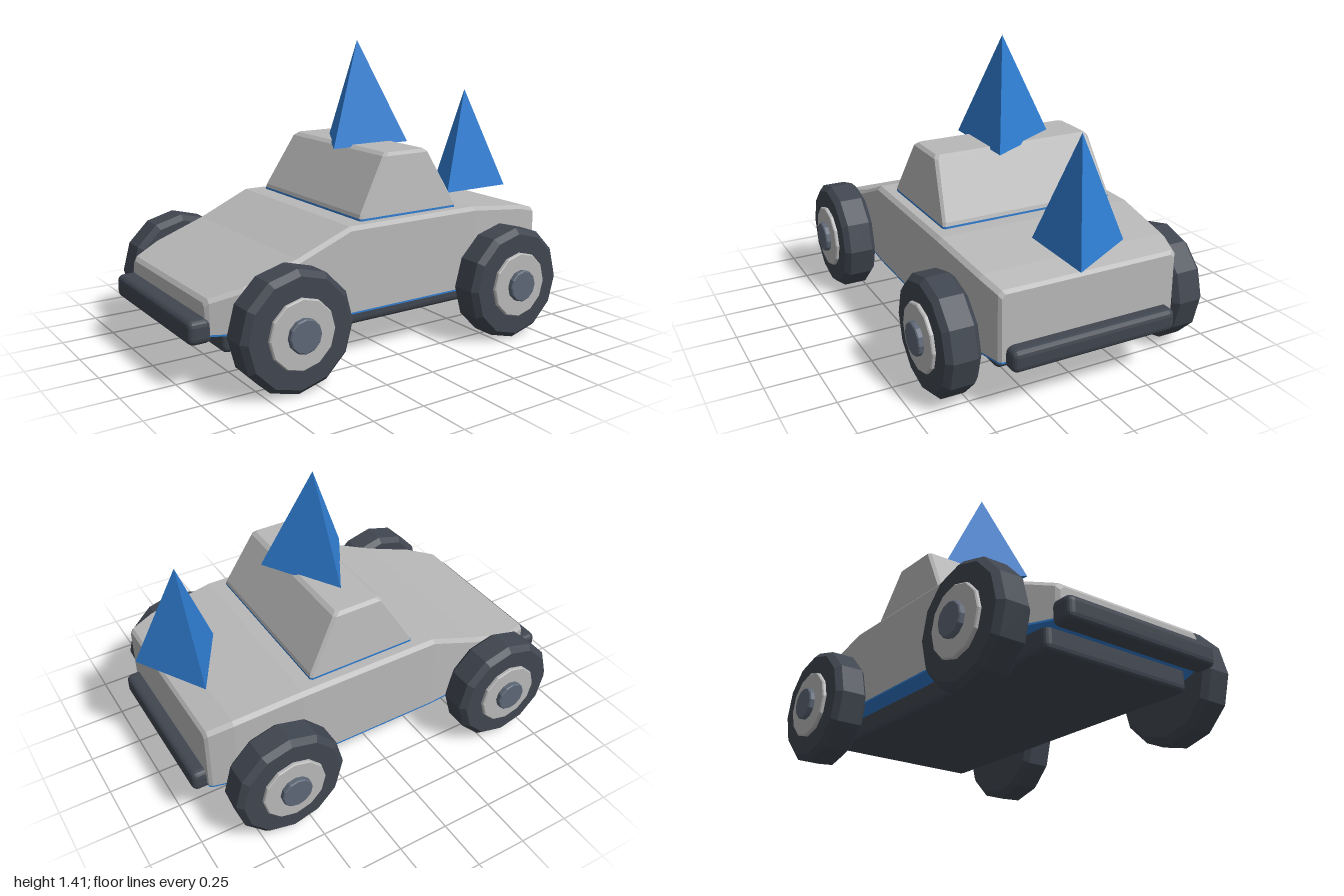
import * as THREE from 'three';
import { RoundedBoxGeometry } from 'three/addons/geometries/RoundedBoxGeometry.js';

const mat = (name, color) => {
  const m = new THREE.MeshStandardMaterial({ color, flatShading: true });
  m.name = name;
  return m;
};

// Skin a list of equal-length rings of [x, y, z] points and cap both ends
function loft(rings) {
  const n = rings[0].length;
  const pos = rings.flat(2);
  const index = [];
  for (let i = 0; i < rings.length - 1; i++) {
    for (let j = 0; j < n; j++) {
      const a = i * n + j, b = i * n + (j + 1) % n;
      index.push(a, b, a + n, b, b + n, a + n);
    }
  }
  const last = (rings.length - 1) * n;
  for (let j = 1; j < n - 1; j++) {
    index.push(0, j + 1, j);
    index.push(last, last + j, last + j + 1);
  }
  const g = new THREE.BufferGeometry();
  g.setAttribute('position', new THREE.Float32BufferAttribute(pos, 3));
  g.setIndex(index);
  const flat = g.toNonIndexed();
  flat.computeVertexNormals();
  return flat;
}

export function createModel() {
  const car = new THREE.Group();
  car.name = 'toyCar';
  const grey = mat('bodyGrey', 0xb8b8b8);
  const blue = mat('blue', 0x2f7dd1);
  const dark = mat('darkRubber', 0x404650);
  const slate = mat('slateCap', 0x5d6776);

  const add = (parent, name, geometry, material, x = 0, y = 0, z = 0) => {
    const m = new THREE.Mesh(geometry, material);
    m.name = name;
    m.position.set(x, y, z);
    parent.add(m);
    return m;
  };

  // Body: stations of [x, top height, half width]
  const stations = [
    [-0.92, 0.39, 0.385], [-0.905, 0.408, 0.4], [-0.77, 0.45, 0.465],
    [-0.52, 0.535, 0.48], [-0.26, 0.645, 0.496], [0.45, 0.645, 0.496],
    [0.78, 0.605, 0.465], [0.893, 0.575, 0.437], [0.907, 0.56, 0.425],
  ];
  const c = 0.018;
  add(car, 'body', loft(stations.map(([x, t, w]) => [
    [x, 0.255, -w], [x, t - c, -w], [x, t, -w + c],
    [x, t, w - c], [x, t - c, w], [x, 0.255, w],
  ])), grey);

  // Blue floor plate under the body
  add(car, 'floorPlate', loft(stations.map(([x, , w]) => [
    [x, 0.247, -w], [x, 0.255, -w], [x, 0.255, w], [x, 0.247, w],
  ])), blue);

  // Cabin: tapered block with chamfered corners, over a blue seam
  const cabinRing = (y, x0, x1, w, k) => [
    [x0 + k, y, w], [x1 - k, y, w], [x1, y, w - k], [x1, y, -w + k],
    [x1 - k, y, -w], [x0 + k, y, -w], [x0, y, -w + k], [x0, y, w - k],
  ];
  add(car, 'cabin', loft([
    cabinRing(0.655, -0.17, 0.38, 0.435, 0.01),
    cabinRing(0.672, -0.165, 0.375, 0.433, 0.012),
    cabinRing(0.92, -0.02, 0.238, 0.403, 0.014),
    cabinRing(0.935, 0, 0.218, 0.388, 0.014),
  ]), grey);
  add(car, 'cabinSeam', loft([
    cabinRing(0.645, -0.17, 0.38, 0.435, 0.01),
    cabinRing(0.655, -0.17, 0.38, 0.435, 0.01),
  ]), blue);

  // Chassis and bumpers
  add(car, 'chassis', new RoundedBoxGeometry(1.64, 0.14, 0.79, 2, 0.03), dark, -0.02, 0.22, 0);
  add(car, 'frontBumper', new RoundedBoxGeometry(0.11, 0.11, 0.82, 2, 0.03), dark, -0.945, 0.273, -0.005);
  add(car, 'rearBumper', new RoundedBoxGeometry(0.11, 0.105, 0.81, 2, 0.03), dark, 0.918, 0.273, 0);

  // Wheels: bevelled twelve-sided discs
  const disc = (radius, depth, bevel) => {
    const h = depth / 2;
    const profile = [
      [0, -h], [radius - bevel, -h], [radius, -h + bevel],
      [radius, h - bevel], [radius - bevel, h], [0, h],
    ].map(([r, y]) => new THREE.Vector2(r, y));
    return new THREE.LatheGeometry(profile, 12).rotateX(Math.PI / 2);
  };
  const tyre = disc(0.272, 0.163, 0.026);
  const hub = disc(0.157, 0.05, 0.005);
  const cap = disc(0.076, 0.05, 0.005);
  for (const [end, x] of [['front', -0.612], ['rear', 0.597]]) {
    for (const [side, s] of [['Near', 1], ['Far', -1]]) {
      const wheel = new THREE.Group();
      wheel.name = `${end}${side}Wheel`;
      wheel.position.set(x, 0.277, s * 0.567);
      add(wheel, 'tyre', tyre, dark);
      add(wheel, 'hub', hub, grey, 0, 0, s * 0.074);
      add(wheel, 'hubCap', cap, slate, 0, 0, s * 0.099);
      car.add(wheel);
    }
  }

  // Three-sided spikes on the roof and the tail
  const spike = (name, x, base, radius, height) =>
    add(car, name, new THREE.ConeGeometry(radius, height, 3, 1, false, Math.PI), blue, x, base + height / 2, 0);
  spike('roofSpike', 0.107, 0.924, 0.25, 0.496);
  spike('tailSpike', 0.798, 0.628, 0.228, 0.516);

  return car;
}
